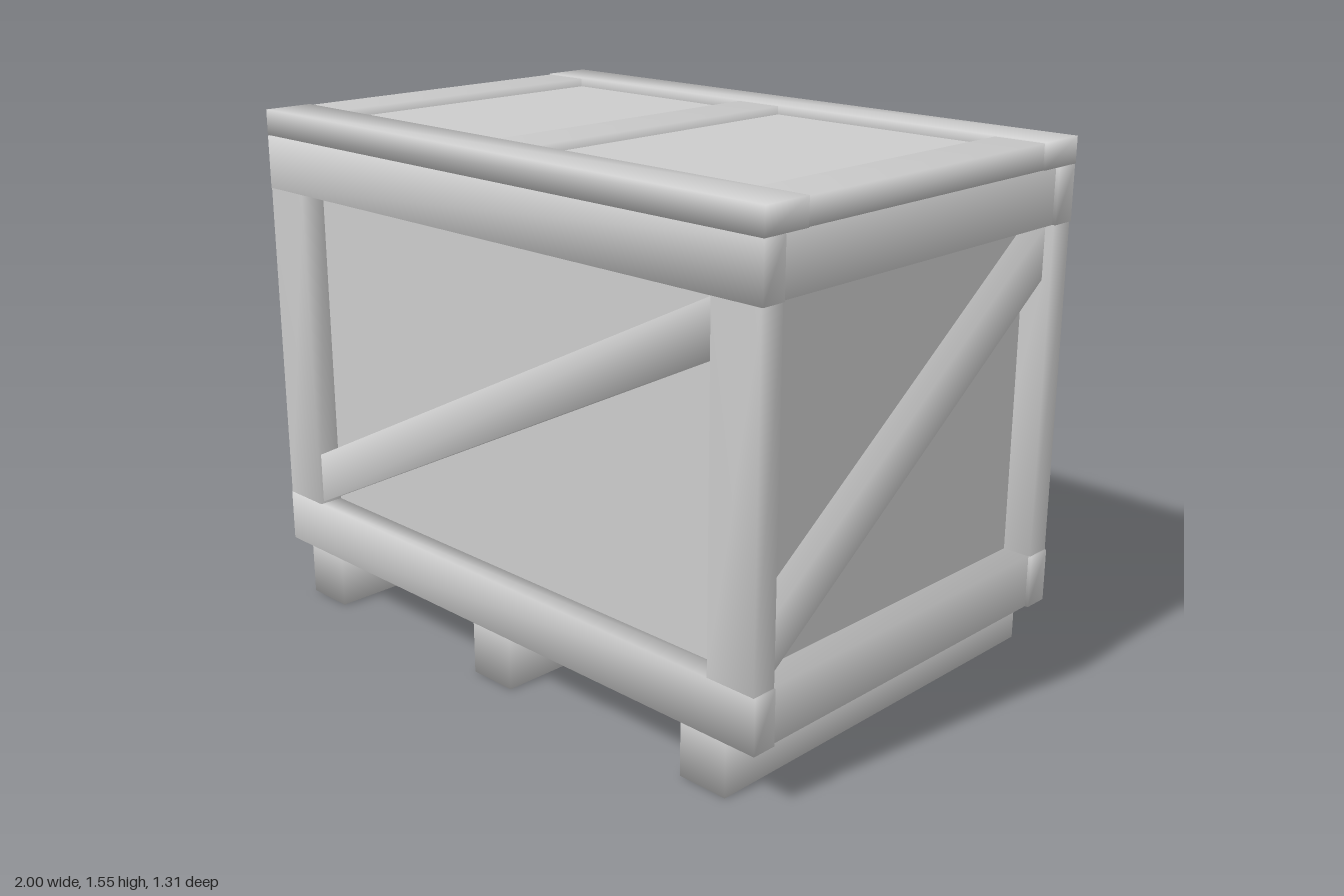
import * as THREE from 'three';
import { mergeVertices } from 'three/addons/utils/BufferGeometryUtils.js';

const material = new THREE.MeshStandardMaterial({ color: 0xcccccc });

// Flat-sided box from min/max ranges
function panel(name, [x0, x1], [y0, y1], [z0, z1]) {
  const mesh = new THREE.Mesh(new THREE.BoxGeometry(x1 - x0, y1 - y0, z1 - z0), material);
  mesh.name = name;
  mesh.position.set((x0 + x1) / 2, (y0 + y1) / 2, (z0 + z1) / 2);
  return mesh;
}

// Plank from min/max ranges; shared corners give it soft, rounded shading.
// rise = [axis, height] shears it upwards along that axis (0 = x, 2 = z).
function plank(name, x, y, z, rise) {
  const mesh = panel(name, x, y, z);
  const g = mesh.geometry;
  if (rise) {
    const [axis, height] = rise;
    const length = axis === 0 ? x[1] - x[0] : z[1] - z[0];
    const p = g.attributes.position;
    for (let i = 0; i < p.count; i++) {
      p.setY(i, p.getY(i) + height * (p.getComponent(i, axis) / length + 0.5));
    }
  }
  g.deleteAttribute('normal');
  g.deleteAttribute('uv');
  mesh.geometry = mergeVertices(g);
  mesh.geometry.computeVertexNormals();
  return mesh;
}

// Range from a to b, mirrored when side is -1
const span = (side, a, b) => (side > 0 ? [a, b] : [-b, -a]);

export function createModel() {
  const crate = new THREE.Group();
  crate.name = 'crate';

  const lower = [0.157, 0.318], upper = [1.315, 1.476], between = [0.318, 1.315];

  // Inner box, right wall standing further out, and lid panel
  crate.add(
    panel('innerBox', [-0.905, 0.905], [0.138, 1.476], [-0.572, 0.58]),
    panel('rightWall', [-0.952, -0.9], [0.16, 1.47], [-0.572, 0.58]),
    panel('lidPanel', [-0.92, 0.92], [1.476, 1.527], [-0.52, 0.52])
  );

  // Front and back frames: rails, posts and a brace rising towards +x
  for (const side of [1, -1]) {
    const frame = new THREE.Group();
    frame.name = side > 0 ? 'frontFrame' : 'backFrame';
    const z = side > 0 ? [0.578, 0.655] : [-0.652, -0.572];
    frame.add(
      plank('bottomRail', [-1, 1], lower, z),
      plank('topRail', [-1, 1], upper, z),
      plank('leftPost', [0.837, 0.995], between, z),
      plank('rightPost', [-0.997, -0.837], between, z),
      plank('brace', [-0.837, 0.837], [0.325, 0.483], span(side, 0.57, 0.645), [0, 0.832])
    );
    crate.add(frame);
  }

  // Side frames: rails and a brace rising towards the back
  for (const side of [1, -1]) {
    const frame = new THREE.Group();
    frame.name = side > 0 ? 'leftFrame' : 'rightFrame';
    const x = span(side, 0.9, 0.99);
    const braceX = side > 0 ? [0.9, 0.97] : [-0.958, -0.9];
    frame.add(
      plank('bottomRail', x, lower, [-0.572, 0.578]),
      plank('topRail', x, upper, [-0.572, 0.578]),
      plank('brace', braceX, [1.155, 1.31], [-0.57, 0.578], [2, -0.83])
    );
    crate.add(frame);
  }

  // Lid frame
  const lid = new THREE.Group();
  lid.name = 'lid';
  for (const side of [1, -1]) {
    lid.add(plank('lidRail', [-1, 1], [1.478, 1.555], span(side, 0.498, 0.655)));
  }
  for (const x of [-0.918, -0.034, 0.915]) {
    lid.add(plank('lidSlat', [x - 0.08, x + 0.08], [1.478, 1.552], [-0.498, 0.498]));
  }
  crate.add(lid);

  // Skids under the floor
  for (const x of [-0.82, -0.01, 0.825]) {
    crate.add(plank('skid', [x - 0.079, x + 0.079], [0, 0.157], [-0.65, 0.655]));
  }

  return crate;
}
